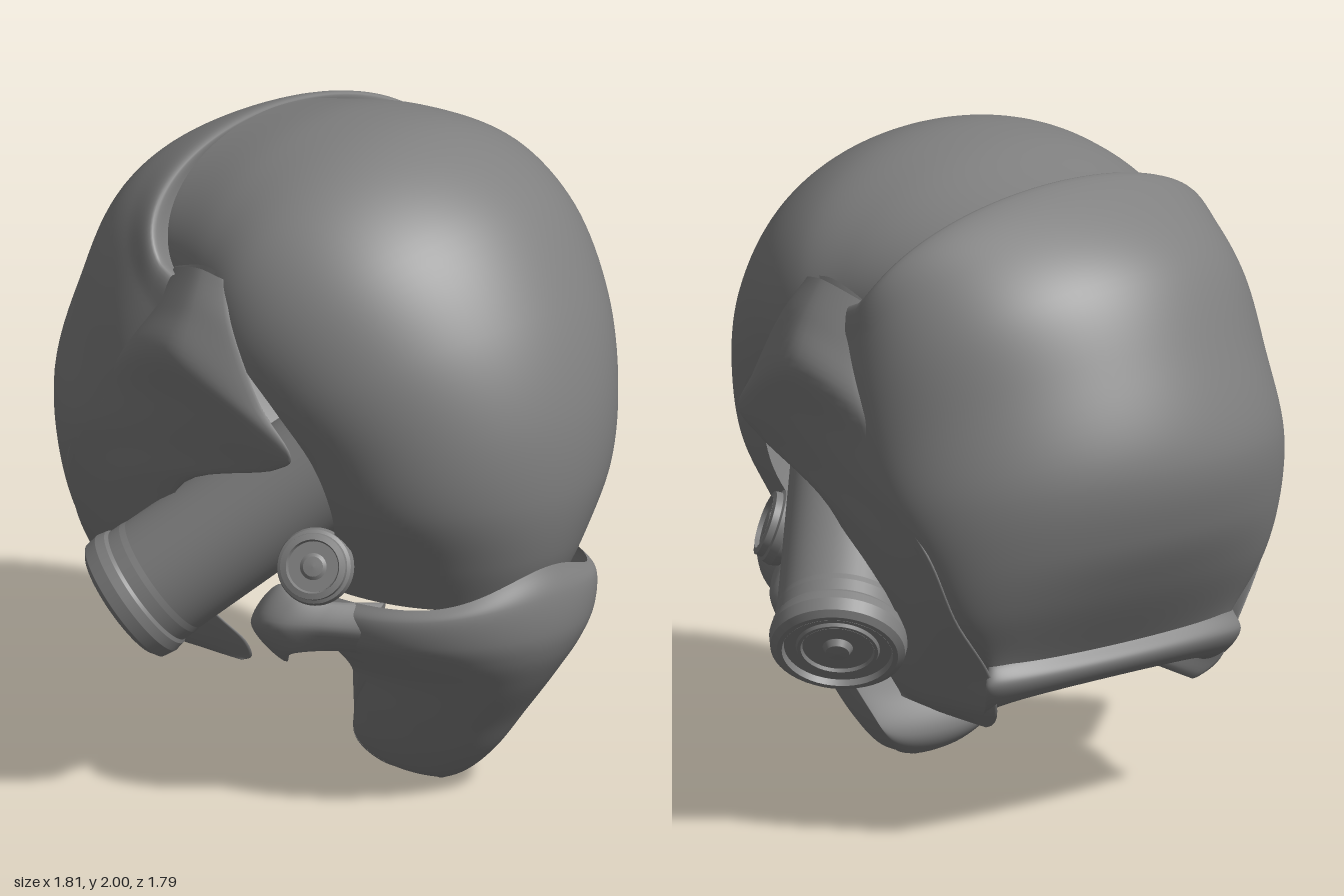
import * as THREE from 'three';

const material = new THREE.MeshStandardMaterial({ color: 0x808080, side: THREE.DoubleSide });
const V = (a) => new THREE.Vector3(a[0], a[1], a[2]);

function part(name, geometry) {
  const mesh = new THREE.Mesh(geometry, material);
  mesh.name = name;
  return mesh;
}

// Smooth skin through rows of points (every row has the same number of points)
function loft(rows, steps, closed = false) {
  const n = rows[0].length;
  const columns = rows[0].map((_, i) => new THREE.CatmullRomCurve3(rows.map((r) => r[i])));
  const pos = [], index = [];
  for (let j = 0; j <= steps; j++) {
    for (const c of columns) pos.push(...c.getPoint(j / steps).toArray());
  }
  for (let j = 0; j < steps; j++) {
    for (let i = 0; i < (closed ? n : n - 1); i++) {
      const k = (i + 1) % n;
      const a = j * n + i, b = j * n + k, c = a + n, d = b + n;
      index.push(a, c, b, b, c, d);
    }
  }
  const g = new THREE.BufferGeometry();
  g.setAttribute('position', new THREE.Float32BufferAttribute(pos, 3));
  g.setIndex(index);
  g.computeVertexNormals();
  return g;
}

// Symmetric shell: each row is [centre y, centre z, edge y, edge z, half width, y power, z power]
function shell(rows) {
  const n = 64;
  return loft(rows.map(([cy, cz, ey, ez, w, yPower = 1, zPower = 1]) => {
    const row = [];
    for (let i = 0; i <= n; i++) {
      const a = (i / n - 0.5) * Math.PI, c = Math.max(0, Math.cos(a));
      row.push(new THREE.Vector3(w * Math.sin(a),
        ey + (cy - ey) * c ** yPower, ez + (cz - ez) * c ** zPower));
    }
    return row;
  }), 64);
}

// Solid plate: each row is [one edge, outer middle, other edge, thickness]
function plate(rows) {
  return loft(rows.map(([f, m, r, t]) => {
    const inner = [m[0] - t, m[1], m[2]];
    return new THREE.CatmullRomCurve3([f, m, r, inner].map(V), true).getPoints(32).slice(0, 32);
  }), 64, true);
}

// Turned filter: the profile [radius, height] ends at the outer face
function filter(name, profile, end, axis) {
  const pts = [];
  profile.forEach(([r, h], i) => {
    pts.push(new THREE.Vector2(r, h));
    // doubled points keep the turned edges crisp
    if (i > 0 && i < profile.length - 1) pts.push(new THREE.Vector2(r, h + 0.001));
  });
  const mesh = part(name, new THREE.LatheGeometry(pts, 48));
  mesh.position.copy(V(end));
  mesh.quaternion.setFromUnitVectors(new THREE.Vector3(0, 1, 0), V(axis).normalize());
  return mesh;
}

// Parts of one side, built on +x
function createSide() {
  const side = new THREE.Group();

  // Side frame running from the temple down to the jaw
  side.add(part('sideFrame', plate([
    [[0.62, 1.66, 0.11], [0.635, 1.675, 0.02], [0.59, 1.63, -0.13], 0.03],
    [[0.66, 1.54, 0.18], [0.7, 1.56, 0.03], [0.65, 1.5, -0.17], 0.06],
    [[0.665, 1.32, 0.31], [0.755, 1.43, 0.03], [0.69, 1.36, -0.25], 0.08],
    [[0.64, 1.18, 0.41], [0.715, 1.27, 0.1], [0.69, 1.22, -0.34], 0.08],
    [[0.63, 1.12, 0.33], [0.69, 1.11, -0.06], [0.69, 1.07, -0.44], 0.07],
    [[0.65, 0.99, -0.03], [0.68, 0.95, -0.27], [0.65, 0.93, -0.52], 0.07],
    [[0.6, 0.76, -0.16], [0.62, 0.74, -0.36], [0.58, 0.74, -0.55], 0.07],
    [[0.48, 0.53, -0.08], [0.54, 0.54, -0.35], [0.47, 0.56, -0.57], 0.07],
    [[0.41, 0.43, -0.01], [0.48, 0.42, -0.32], [0.42, 0.43, -0.54], 0.07],
    [[0.38, 0.37, -0.02], [0.43, 0.37, -0.27], [0.39, 0.37, -0.48], 0.05],
    [[0.39, 0.355, -0.05], [0.4, 0.355, -0.27], [0.39, 0.355, -0.45], 0.01],
  ])));

  // Large filter with flange, ring and button
  side.add(filter('largeFilter', [
    [0, -0.8], [0.17, -0.8], [0.185, -0.77], [0.19, -0.15], [0.193, -0.13], [0.193, -0.09],
    [0.2, -0.08], [0.206, -0.05], [0.2, -0.01], [0.18, 0.005], [0.165, 0.005], [0.16, -0.015],
    [0.125, -0.015], [0.12, -0.005], [0.11, -0.005], [0.105, -0.015], [0.045, -0.015], [0.035, 0.005], [0, 0.01],
  ], [0.745, 0.595, -0.19], [0.55, -0.6, -0.58]));

  // Small filter beside the mask
  side.add(filter('smallFilter', [
    [0, -0.36], [0.06, -0.35], [0.085, -0.31], [0.09, -0.08], [0.11, -0.07], [0.116, -0.045],
    [0.11, -0.02], [0.1, -0.015], [0.098, 0.005], [0.08, 0.01], [0.075, -0.004], [0.04, -0.004],
    [0.03, 0.003], [0, 0.006],
  ], [0.54, 0.81, 0.4], [0.72, 0.32, 0.5]));

  // Mask arm flaring out and back below the small filter
  side.add(part('maskArm', plate([
    [[0.36, 0.68, 0.52], [0.42, 0.6, 0.52], [0.36, 0.51, 0.5], 0.05],
    [[0.46, 0.68, 0.41], [0.52, 0.61, 0.41], [0.45, 0.52, 0.4], 0.07],
    [[0.53, 0.69, 0.32], [0.595, 0.61, 0.31], [0.54, 0.51, 0.31], 0.08],
    [[0.52, 0.71, 0.25], [0.6, 0.6, 0.23], [0.5, 0.46, 0.25], 0.1],
    [[0.5, 0.64, 0.16], [0.55, 0.57, 0.15], [0.47, 0.47, 0.18], 0.08],
    [[0.5, 0.58, 0.14], [0.5, 0.56, 0.14], [0.48, 0.51, 0.16], 0.01],
  ])));
  return side;
}

export function createModel() {
  const model = new THREE.Group();
  model.name = 'helmet';

  // Large smooth visor
  model.add(part('visor', shell([
    [1.92, -0.35, 1.57, -0.16, 0.56], [1.995, 0.0, 1.58, -0.02, 0.605],
    [1.98, 0.29, 1.56, 0.1, 0.645], [1.83, 0.57, 1.45, 0.2, 0.66],
    [1.55, 0.78, 1.3, 0.32, 0.62], [1.27, 0.88, 1.13, 0.41, 0.55],
    [1.02, 0.893, 0.96, 0.43, 0.49], [0.82, 0.85, 0.78, 0.36, 0.41], [0.66, 0.78, 0.66, 0.32, 0.35],
  ])));

  // Rounded shell over the back of the head, with a lip turned in at the front
  model.add(part('backShell', shell([
    [1.89, -0.31, 1.57, -0.11, 0.55, 0.9, 0.5], [1.935, -0.305, 1.62, -0.1, 0.63, 0.9, 0.5],
    [1.86, -0.49, 1.5, -0.13, 0.665, 0.9, 0.75], [1.73, -0.66, 1.35, -0.21, 0.695, 0.9, 1],
    [1.5, -0.79, 1.2, -0.31, 0.705, 1, 1.2], [1.2, -0.89, 1.05, -0.42, 0.695, 1, 1.25],
    [0.98, -0.85, 0.9, -0.49, 0.65, 1, 1.2], [0.8, -0.76, 0.72, -0.52, 0.58, 1, 1.1],
    [0.56, -0.6, 0.56, -0.54, 0.45],
  ])));

  // Broad band under the back shell, joining both side frames
  model.add(part('neckBand', shell([
    [0.59, -0.61, 0.58, -0.55, 0.46], [0.54, -0.645, 0.52, -0.56, 0.48],
    [0.48, -0.6, 0.44, -0.52, 0.45], [0.48, -0.53, 0.4, -0.46, 0.42], [0.53, -0.5, 0.43, -0.4, 0.39],
  ])));

  // Mask over the mouth, hugging the visor and tapering to the chin
  model.add(part('mask', shell([
    [0.785, 0.84, 0.68, 0.36, 0.43, 6, 1], [0.7, 0.87, 0.64, 0.34, 0.46, 3, 1],
    [0.58, 0.87, 0.56, 0.34, 0.45, 2, 1], [0.5, 0.845, 0.5, 0.36, 0.4, 2, 1],
    [0.4, 0.785, 0.42, 0.36, 0.335, 2, 1], [0.25, 0.67, 0.28, 0.31, 0.28],
    [0.12, 0.57, 0.15, 0.26, 0.22], [0.04, 0.48, 0.06, 0.3, 0.14], [0, 0.4, 0.015, 0.36, 0.02],
  ])));
  model.add(part('chinBack', shell([
    [0.33, 0.5, 0.42, 0.36, 0.335], [0.2, 0.3, 0.28, 0.31, 0.28], [0.1, 0.25, 0.15, 0.26, 0.22],
    [0.04, 0.28, 0.06, 0.3, 0.14], [0, 0.37, 0.015, 0.36, 0.02],
  ])));

  // Matching left and right sides
  for (const [name, sign] of [['leftSide', 1], ['rightSide', -1]]) {
    const side = createSide();
    side.name = name;
    side.scale.x = sign;
    model.add(side);
  }
  return model;
}
